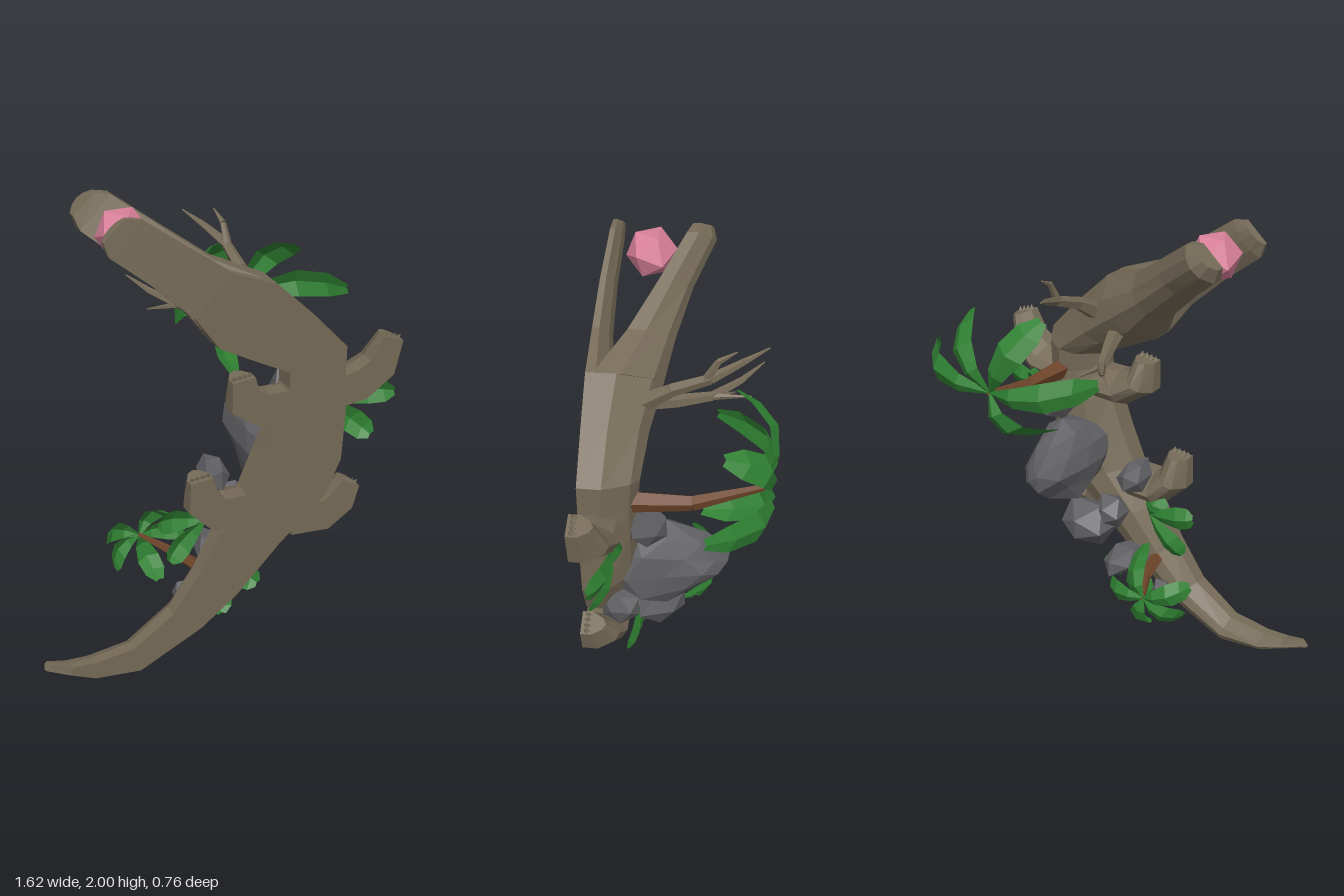
import * as THREE from 'three';

const mat = (name, color, extra = {}) => {
  const m = new THREE.MeshStandardMaterial({ color, flatShading: true, ...extra });
  m.name = name;
  return m;
};
const V = (p) => new THREE.Vector3(...p);
const GROUND = 0.385; // belly plane; heights grow towards -z

// Cross-section: [fraction across, fraction of height]
const PROFILE = [[0.01, 0], [0, 0.42], [0.25, 0.87], [0.5, 1], [0.75, 0.87], [1, 0.42], [0.99, 0]];

// Skin sections given as [leftX, leftY, rightX, rightY, lowHeight, highHeight]
function loft(sections) {
  const n = PROFILE.length, pos = [], idx = [];
  for (const [lx, ly, rx, ry, h0, h1] of sections)
    for (const [t, h] of PROFILE)
      pos.push(lx + (rx - lx) * t, ly + (ry - ly) * t, GROUND - h0 - (h1 - h0) * h);
  for (let s = 0; s < sections.length - 1; s++)
    for (let i = 0; i < n; i++) {
      const a = s * n + i, b = s * n + (i + 1) % n;
      idx.push(a, a + n, b, b, a + n, b + n);
    }
  const e = (sections.length - 1) * n;
  for (let i = 1; i < n - 1; i++) idx.push(0, i, i + 1, e, e + i + 1, e + i);
  const g = new THREE.BufferGeometry();
  g.setAttribute('position', new THREE.Float32BufferAttribute(pos, 3));
  g.setIndex(idx);
  g.computeVertexNormals();
  return g;
}

// Limb sections from path points [x, y, width, height]
function limbSections(path) {
  return path.map(([x, y, w, h], i) => {
    const a = path[Math.max(i - 1, 0)], b = path[Math.min(i + 1, path.length - 1)];
    const dx = b[0] - a[0], dy = b[1] - a[1], k = w / 2 / Math.hypot(dx, dy);
    return [x - dy * k, y + dx * k, x + dy * k, y - dx * k, 0, h];
  });
}

// Tapered stick between two points
function rod(a, b, r0, r1, sides = 5) {
  const d = V(b).sub(V(a));
  const g = new THREE.CylinderGeometry(r1, r0, d.length(), sides);
  g.applyQuaternion(new THREE.Quaternion().setFromUnitVectors(new THREE.Vector3(0, 1, 0), d.clone().normalize()));
  g.translate(...V(a).addScaledVector(d, 0.5).toArray());
  return g;
}

// Folded leaf that runs out flat, then droops to a blunt tip
function leaf(base, tip, lift, width) {
  const a = V(base), b = V(tip);
  const c = a.clone().lerp(b, 0.72);
  c.z = a.z - lift;
  const curve = new THREE.QuadraticBezierCurve3(a, c, b);
  const side = new THREE.Vector3(-(b.y - a.y), b.x - a.x, 0).normalize();
  const pos = [], idx = [];
  [[0, 0.1], [0.25, 0.65], [0.55, 1], [0.82, 0.9], [1, 0.35]].forEach(([t, w], s) => {
    const p = curve.getPoint(t);
    for (const k of [-1, 0, 1]) {
      const q = p.clone().addScaledVector(side, k * w * width / 2);
      pos.push(q.x, q.y, q.z + Math.abs(k) * w * width * 0.25);
    }
    if (s) for (const i of [0, 1]) {
      const m = (s - 1) * 3 + i;
      idx.push(m, m + 3, m + 1, m + 1, m + 3, m + 4);
    }
  });
  const g = new THREE.BufferGeometry();
  g.setAttribute('position', new THREE.Float32BufferAttribute(pos, 3));
  g.setIndex(idx);
  g.computeVertexNormals();
  return g;
}

// Irregular boulder, narrowing towards -z by the point factor
function rock([x, y, z], [sx, sy, sz], seed, detail = 0, point = 0.15) {
  const g = new THREE.IcosahedronGeometry(1, detail), p = g.attributes.position;
  for (let i = 0; i < p.count; i++) {
    const vx = p.getX(i), vy = p.getY(i), vz = p.getZ(i);
    const j = 1 + 0.13 * Math.sin(Math.round(vx * 50) * 1.7 + Math.round(vy * 50) * 2.9 + Math.round(vz * 50) * 0.8 + seed);
    const w = j * (1 + point * vz);
    p.setXYZ(i, x + vx * w * sx, y + vy * w * sy, z + vz * j * sz);
  }
  g.computeVertexNormals();
  return g;
}

export function createModel() {
  const hide = mat('hide', 0x756a57), bark = mat('trunkBark', 0x6e452a);
  const stone = mat('stone', 0x606064), pink = mat('pink', 0xd9809a);
  const green = mat('leafGreen', 0x2f8032, { side: THREE.DoubleSide });
  const root = new THREE.Group();
  const add = (name, geo, m, parent = root) => {
    const mesh = new THREE.Mesh(geo, m);
    mesh.name = name;
    parent.add(mesh);
  };
  const group = (name) => {
    const g = new THREE.Group();
    g.name = name;
    root.add(g);
    return g;
  };

  // Body from tail tip to the back of the head
  add('body', loft([
    [-0.785, 0.142, -0.81, 0.115, 0.02, 0.06], [-0.7, 0.112, -0.71, 0.075, 0, 0.08],
    [-0.6, 0.105, -0.6, 0.025, 0, 0.1], [-0.43, 0.125, -0.4, 0.003, 0, 0.12],
    [-0.25, 0.25, -0.12, 0.14, 0, 0.14], [-0.13, 0.42, 0.05, 0.27, 0, 0.16],
    [-0.03, 0.6, 0.24, 0.47, 0, 0.19], [0.08, 0.76, 0.45, 0.66, 0, 0.21],
    [0.15, 0.92, 0.52, 0.82, 0, 0.22], [0.21, 1.08, 0.53, 1.05, 0, 0.22],
    [0.26, 1.2, 0.52, 1.2, 0, 0.22], [0.26, 1.27, 0.52, 1.34, 0, 0.23],
    [0.12, 1.34, 0.36, 1.51, 0, 0.25], [-0.05, 1.43, 0.2, 1.66, 0, 0.29],
  ]), hide);

  // Open jaws
  add('lowerJaw', loft([
    [-0.05, 1.43, 0.2, 1.66, 0, 0.1], [-0.15, 1.57, 0, 1.74, 0, 0.07],
    [-0.32, 1.73, -0.17, 1.86, 0.01, 0.07], [-0.48, 1.86, -0.35, 1.99, 0.03, 0.08],
    [-0.5, 1.92, -0.41, 2, 0.035, 0.078],
  ]), hide);
  add('upperJaw', loft([
    [-0.05, 1.43, 0.2, 1.66, 0.03, 0.29], [-0.15, 1.57, 0, 1.74, 0.14, 0.32],
    [-0.32, 1.73, -0.17, 1.86, 0.24, 0.375], [-0.48, 1.86, -0.35, 1.99, 0.34, 0.455],
    [-0.5, 1.92, -0.41, 2, 0.36, 0.44],
  ]), hide);
  const ball = new THREE.IcosahedronGeometry(0.107, 0);
  ball.rotateX(-0.365);
  ball.translate(-0.365, 1.885, 0.19);
  add('mouthBall', ball, pink);

  // Bent legs with claws
  const legs = {
    rightForeLeg: [[0.3, 1.12], [0.16, 1.12], [0.07, 1.175], [0.06, 1.275]],
    leftForeLeg: [[0.46, 1.13], [0.6, 1.15], [0.69, 1.21], [0.735, 1.335]],
    rightHindLeg: [[0.08, 0.68], [-0.04, 0.68], [-0.11, 0.75], [-0.12, 0.86]],
    leftHindLeg: [[0.3, 0.57], [0.46, 0.56], [0.53, 0.61], [0.57, 0.69]],
  };
  for (const [name, path] of Object.entries(legs)) {
    const leg = group(name);
    add('limb', loft(limbSections(path.map(([x, y], i) =>
      [x, y, [0.14, 0.15, 0.145, 0.1][i], [0.17, 0.17, 0.15, 0.1][i]]))), hide, leg);
    const [ax, ay] = path[2], [bx, by] = path[3];
    const dir = new THREE.Vector2(bx - ax, by - ay).normalize();
    for (const k of [-0.035, -0.012, 0.012, 0.035]) {
      const x = bx - dir.y * k, y = by + dir.x * k;
      add('claw', rod([x - dir.x * 0.01, y - dir.y * 0.01, 0.355],
        [x + dir.x * 0.018, y + dir.y * 0.018, 0.37], 0.016, 0.002, 4), hide, leg);
    }
  }

  // Bare forked branches behind the head
  const branches = [
    [[0.19, 1.53, 0.16], [0.2, 1.6, 0.05], 0.04, 0.028], [[0.2, 1.6, 0.05], [0.2, 1.66, -0.1], 0.028, 0.022],
    [[0.2, 1.66, -0.1], [0.15, 1.71, -0.22], 0.022, 0.014], [[0.15, 1.71, -0.22], [0.1, 1.75, -0.32], 0.014, 0.003],
    [[0.2, 1.65, -0.08], [0.2, 1.74, -0.13], 0.02, 0.013], [[0.2, 1.74, -0.13], [0.19, 1.78, -0.2], 0.013, 0.003],
    [[0.09, 1.46, 0.17], [0.04, 1.44, 0.04], 0.036, 0.028], [[0.04, 1.44, 0.04], [-0.02, 1.43, -0.09], 0.028, 0.02],
    [[-0.02, 1.43, -0.09], [-0.1, 1.46, -0.2], 0.02, 0.014], [[-0.1, 1.46, -0.2], [-0.17, 1.51, -0.29], 0.014, 0.003],
    [[-0.02, 1.43, -0.09], [-0.02, 1.44, -0.25], 0.016, 0.003], [[-0.01, 1.43, -0.08], [-0.12, 1.39, -0.18], 0.016, 0.003],
  ];
  const wood = group('bareBranches');
  for (const b of branches) add('branch', rod(...b), hide, wood);

  // Palms: trunk points, then leaf tips
  const palm = (name, trunk, radii, tips, lift, width) => {
    const g = group(name), crown = trunk[trunk.length - 1];
    for (let i = 0; i < trunk.length - 1; i++)
      add('trunk', rod(trunk[i], trunk[i + 1], radii[i], radii[i + 1]), bark, g);
    for (const t of tips) add('leaf', leaf(crown, t, lift, width), green, g);
  };
  palm('largePalm', [[0.4, 1.2, 0.19], [0.4, 1.21, -0.05], [0.375, 1.29, -0.33]], [0.045, 0.032, 0.014],
    [[0.81, 1.345, -0.14], [0.58, 1.56, -0.19], [0.19, 1.61, -0.21], [-0.02, 1.35, -0.12], [0.24, 1.05, -0.08]], 0.15, 0.13);
  palm('smallPalm', [[-0.08, 0.36, 0.24], [-0.12, 0.35, 0.1], [-0.22, 0.37, -0.07]], [0.03, 0.022, 0.009],
    [[-0.4, 0.45, 0.02], [-0.37, 0.29, 0.02], [-0.17, 0.19, 0.04], [-0.02, 0.36, -0.03], [-0.13, 0.54, 0.08]], 0.07, 0.1);

  // Low bushes along the flanks: base, then leaf tips
  const bushes = [
    [[0.5, 1.04, 0.26], [0.8, 1.05, 0.31], [0.69, 0.87, 0.32], [0.6, 1.12, 0.2]],
    [[0.03, 0.33, 0.23], [0.205, 0.2, 0.25], [0.03, 0.095, 0.26], [-0.05, 0.17, 0.2]],
    [[-0.04, 0.58, 0.24], [-0.26, 0.62, 0.25], [-0.21, 0.42, 0.25], [-0.08, 0.67, 0.27]],
  ];
  for (const [base, ...tips] of bushes) {
    const g = group('bush');
    for (const t of tips) add('leaf', leaf(base, t, 0.05, 0.11), green, g);
  }

  // Boulders on the back
  const rocks = group('boulders');
  [
    [[0.3, 0.83, 0.06], [0.14, 0.18, 0.28], 1, 1, 0.42],
    [[0.2, 0.53, 0.1], [0.14, 0.11, 0.13], 2],
    [[0.1, 0.6, 0.14], [0.08, 0.08, 0.09], 8],
    [[0.39, 1.07, 0.13], [0.09, 0.1, 0.09], 3],
    [[0.03, 0.37, 0.15], [0.09, 0.07, 0.13], 4],
    [[0.45, 0.69, 0.24], [0.06, 0.09, 0.08], 5],
    [[0.01, 0.78, 0.2], [0.065, 0.08, 0.11], 6],
    [[-0.13, 0.21, 0.21], [0.05, 0.07, 0.06], 9],
  ].forEach((r) => add('boulder', rock(...r), stone, rocks));

  return root;
}
